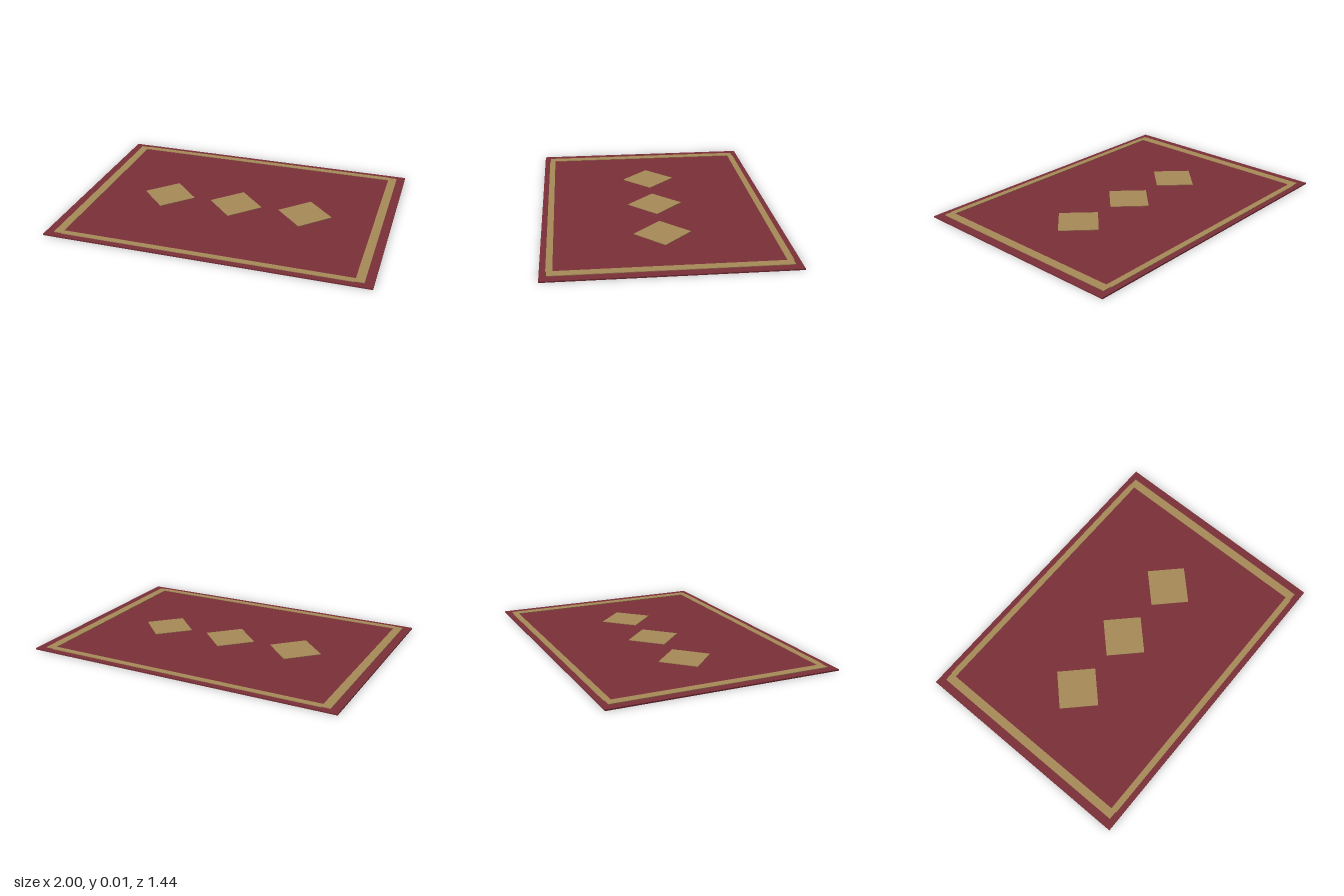
import * as THREE from 'three';

export function createModel() {
  const group = new THREE.Group();
  const red = new THREE.MeshStandardMaterial({ color: 0x7a2f38 });
  red.name = 'deep red';
  const gold = new THREE.MeshStandardMaterial({ color: 0xa88a59 });
  gold.name = 'muted gold';

  const baseHeight = 0.008;
  const trimHeight = 0.004;

  // Adds a flat slab resting at height y
  function slab(name, material, width, height, depth, x, y, z, turn = 0) {
    const mesh = new THREE.Mesh(new THREE.BoxGeometry(width, height, depth), material);
    mesh.name = name;
    mesh.position.set(x, y + height / 2, z);
    mesh.rotation.y = turn;
    group.add(mesh);
  }

  // Rug body
  slab('rugBase', red, 2, baseHeight, 1.44, 0, 0, 0);

  // Border strips, meeting at the corners
  for (const side of [-1, 1]) {
    slab(side < 0 ? 'backBorder' : 'frontBorder', gold,
      1.786, trimHeight, 0.038, 0, baseHeight, side * 0.666);
    slab(side < 0 ? 'rightBorder' : 'leftBorder', gold,
      0.054, trimHeight, 1.36, side * 0.92, baseHeight, 0);
  }

  // Row of three diamonds
  for (const i of [-1, 0, 1]) {
    slab('diamond' + (i + 2), gold,
      0.243, trimHeight, 0.243, i * 0.457, baseHeight, 0, Math.PI / 4);
  }
  return group;
}
